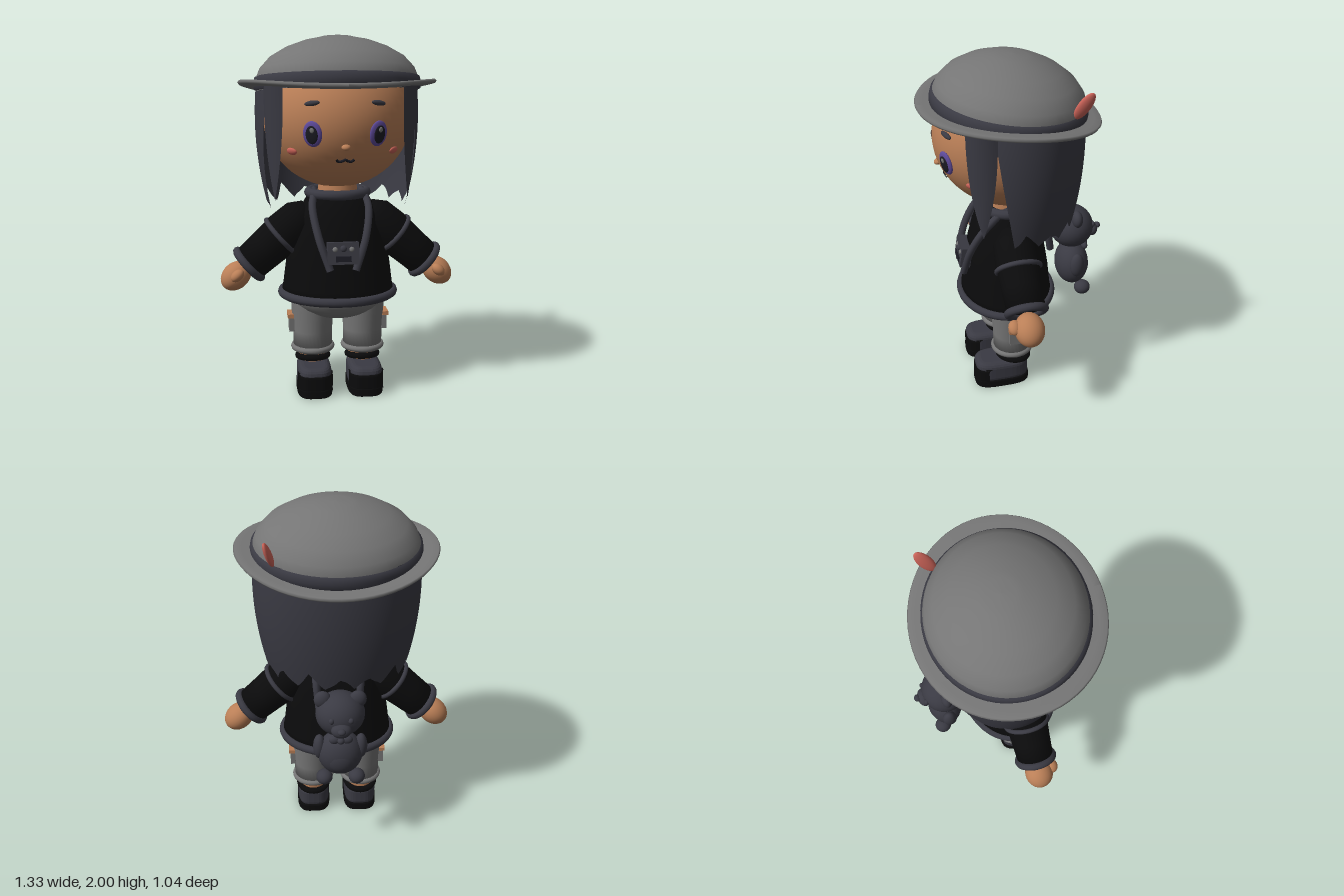
import * as THREE from 'three';

const mat = (name, color, side = THREE.FrontSide) => {
  const m = new THREE.MeshStandardMaterial({ color, side });
  m.name = name;
  return m;
};
const V = (x, y, z) => new THREE.Vector3(x, y, z);

export function createModel() {
  const root = new THREE.Group();
  const skin = mat('skin', 0xba7f57);
  const grey = mat('grey cloth', 0x757575, THREE.DoubleSide);
  const slate = mat('slate', 0x3a3a43, THREE.DoubleSide);
  const black = mat('black', 0x0b0b0c);
  const pink = mat('coral', 0xcc6459);
  const purple = mat('iris purple', 0x5f4b9c);
  const dark = mat('pupil', 0x1c1c24);

  const add = (name, geo, material, pos = [0, 0, 0], scale = [1, 1, 1], parent = root) => {
    const m = new THREE.Mesh(geo, material);
    m.name = name;
    m.position.set(...pos);
    m.scale.set(...scale);
    parent.add(m);
    return m;
  };
  const ball = (name, material, pos, scale, parent) =>
    add(name, new THREE.SphereGeometry(1, 28, 18), material, pos, scale, parent);
  const lathe = (pts, seg = 48) => new THREE.LatheGeometry(pts.map(p => new THREE.Vector2(...p)), seg);
  const ring = (r, t) => new THREE.TorusGeometry(r, t, 10, 40).rotateX(Math.PI / 2);
  const tube = (pts, r, seg = 24) => new THREE.TubeGeometry(
    new THREE.CatmullRomCurve3(pts.map(p => V(...p))), seg, r, 8);

  // Head, flatter at the back
  const HC = V(0, 1.56, 0.02), HR = V(0.41, 0.39, 0.42);
  const headGeo = new THREE.SphereGeometry(1, 48, 32).scale(HR.x, HR.y, HR.z);
  const hp = headGeo.attributes.position;
  for (let i = 0; i < hp.count; i++) if (hp.getZ(i) < 0) hp.setZ(i, hp.getZ(i) * 0.83);
  headGeo.computeVertexNormals();
  add('head', headGeo, skin, HC.toArray());
  add('neck', new THREE.CylinderGeometry(0.1, 0.12, 0.16, 24), skin, [0, 1.17, 0.04]);

  // Places a flat oval on the face
  const faceZ = (x, y) => HC.z + HR.z * Math.sqrt(1 - (x / HR.x) ** 2 - ((y - HC.y) / HR.y) ** 2);
  const onFace = (name, material, x, y, w, h, d, lift = 0, roll = 0) => {
    const p = V(x, y, faceZ(x, y));
    const n = p.clone().sub(HC).divide(HR).divide(HR).normalize();
    const m = ball(name, material, p.clone().addScaledVector(n, lift).toArray(), [w, h, d]);
    m.lookAt(p.clone().addScaledVector(n, 2));
    m.rotateZ(roll);
  };
  for (const s of [-1, 1]) {
    onFace('iris', purple, s * 0.17, 1.5, 0.052, 0.068, 0.016);
    onFace('pupil', dark, s * 0.17, 1.498, 0.033, 0.048, 0.007, 0.013);
    onFace('eyeHighlight', grey, s * 0.17 + 0.002, 1.522, 0.012, 0.014, 0.005, 0.019);
    onFace('eyebrow', slate, s * 0.17, 1.655, 0.042, 0.014, 0.014, 0.004, s * -0.15);
    onFace('cheek', pink, s * 0.27, 1.4, 0.034, 0.021, 0.012);
  }
  onFace('nose', skin, 0, 1.432, 0.024, 0.016, 0.022);
  const mouth = [[-0.048, 1.366], [-0.035, 1.354], [-0.015, 1.356], [0, 1.364],
    [0.015, 1.356], [0.035, 1.354], [0.048, 1.366]];
  add('mouth', tube(mouth.map(([x, y]) => [x, y, faceZ(x, y) + 0.003]), 0.007), dark);

  // Back hair: curved sheet with a jagged hem
  const sheet = (nu, nv, rule) => {
    const g = new THREE.PlaneGeometry(1, 1, nu, nv), p = g.attributes.position;
    for (let i = 0; i < p.count; i++) p.setXYZ(i, ...rule(p.getX(i) + 0.5, 0.5 - p.getY(i)));
    g.computeVertexNormals();
    return g;
  };
  add('backHair', sheet(108, 16, (u, v) => {
    const tooth = Math.abs(((u * 9) % 1) * 2 - 1);
    const hem = 1.06 + 0.075 * (1 - tooth) * (1 - 0.3 * Math.cos(u * 40));
    const y = 1.75 + (hem - 1.75) * v, t = (1.75 - y) / 0.65;
    const s = 1 - 0.25 * (t - 0.3) ** 2;
    const a = (0.5 - u) * 2 * (2.1 - 0.25 * t);
    return [0.455 * s * Math.sin(a), y, -0.378 * s * Math.cos(a)];
  }), slate);
  // Side locks tapering to a point
  for (const s of [-1, 1]) {
    add('sideLock', sheet(10, 20, (u, v) => {
      const w = 0.2 * (1 - v ** 2.4), k = u * 2 - 1;
      const a = 0.57 + s * k * -w, r = 1 + 0.05 * (1 - k * k) * (1 - v) - 0.03 * v * v;
      return [s * 0.44 * r * Math.cos(a), 1.75 - 0.62 * v, 0.02 + 0.43 * r * Math.sin(a)];
    }), slate);
  }

  // Hat, tipped back, with the brim lifted at the sides
  const hat = new THREE.Group();
  hat.name = 'hat';
  hat.position.set(0, 1.7, 0.03);
  hat.rotation.x = -0.105;
  root.add(hat);
  add('crown', lathe([[0.445, 0], [0.447, 0.07], [0.425, 0.125], [0.37, 0.185], [0.28, 0.238],
    [0.18, 0.274], [0.12, 0.286], [0.08, 0.296], [0, 0.299]], 56), grey, [0, 0, 0], [1, 1, 0.91], hat);
  add('hatBand', lathe([[0.44, -0.005], [0.458, 0.005], [0.46, 0.04], [0.454, 0.07], [0.435, 0.078]], 56),
    slate, [0, 0.005, 0], [1, 1, 0.91], hat);
  const brim = lathe([[0.42, -0.012], [0.5, -0.012], [0.54, -0.01], [0.547, 0], [0.54, 0.01],
    [0.5, 0.012], [0.42, 0.018]], 64);
  const bp = brim.attributes.position;
  for (let i = 0; i < bp.count; i++) bp.setY(i, bp.getY(i) + 0.05 * (bp.getX(i) / 0.547) ** 2);
  brim.computeVertexNormals();
  add('brim', brim, grey, [0, 0, 0], [1, 1, 0.9], hat);
  const feather = ball('feather', pink, [0.352, 1.82, -0.275], [0.018, 0.085, 0.036]);
  feather.quaternion.setFromUnitVectors(V(0, 1, 0), V(0.04, 0.14, -0.075).normalize());

  // Jacket
  add('jacket', lathe([[0, 0.56], [0.325, 0.56], [0.312, 0.62], [0.295, 0.75], [0.265, 0.9],
    [0.23, 1.02], [0.175, 1.12], [0.12, 1.15]]), black, [0, 0, 0.05], [1, 1, 0.82]);
  add('jacketHem', ring(0.318, 0.025), slate, [0, 0.57, 0.05], [1, 1, 0.84]);
  add('collar', ring(0.16, 0.028), slate, [0, 1.14, 0.04], [1, 1, 0.9]);

  for (const s of [-1, 1]) {
    // Arm built along -y, then swung outward
    const arm = new THREE.Group();
    arm.name = s > 0 ? 'leftArm' : 'rightArm';
    arm.position.set(s * 0.18, 1.02, 0.05);
    arm.rotation.z = s * 0.85;
    root.add(arm);
    add('sleeve', lathe([[0, -0.43], [0.105, -0.43], [0.112, -0.3], [0.122, -0.16], [0.115, -0.04],
      [0.07, 0.03], [0, 0.05]], 32), black, [0, 0, 0], [1, 1, 1], arm);
    add('sleeveRing', ring(0.12, 0.014), slate, [0, -0.19, 0], [1, 1, 1], arm);
    add('cuff', ring(0.1, 0.023), slate, [0, -0.43, 0], [1, 1, 1], arm);
    ball('hand', skin, [0, -0.53, 0], [0.075, 0.095, 0.082], arm);
    ball('thumb', skin, [s * 0.01, -0.51, 0.08], [0.03, 0.042, 0.035], arm);

    // Shoulder strap from back to front
    add('strap', tube([[s * 0.11, 0.86, -0.19], [s * 0.125, 1.02, -0.155], [s * 0.13, 1.13, -0.05],
      [s * 0.135, 1.145, 0.08], [s * 0.155, 1.08, 0.18], [s * 0.13, 0.93, 0.27],
      [s * 0.07, 0.75, 0.31]], 0.021, 40), slate);

    // Leg
    const leg = new THREE.Group();
    leg.name = s > 0 ? 'leftLeg' : 'rightLeg';
    leg.position.x = s * 0.145;
    root.add(leg);
    add('trouserLeg', lathe([[0, 0.23], [0.112, 0.23], [0.112, 0.34], [0.122, 0.47], [0.12, 0.54]], 32),
      grey, [0, 0, 0.045], [1, 1, 1], leg);
    add('trouserCuff', ring(0.108, 0.018), grey, [0, 0.238, 0.045], [1, 1, 1], leg);
    add('ankle', new THREE.CylinderGeometry(0.085, 0.085, 0.14, 24), skin, [0, 0.18, 0.045], [1, 1, 1], leg);
    add('pocket', new THREE.BoxGeometry(0.03, 0.085, 0.085), grey, [s * 0.122, 0.38, 0.045], [1, 1, 1], leg);
    add('pocketTrim', new THREE.BoxGeometry(0.035, 0.022, 0.095), skin, [s * 0.128, 0.43, 0.045], [1, 1, 1], leg);
    const strap = add('ankleStrap', ring(0.084, 0.019), black, [0, 0.177, 0.04], [1, 1, 1.05], leg);
    strap.rotation.x = -0.15;

    // Shoe from stacked rounded slabs
    const slab = (y0, y1, b, k = 1, zMin = -1) => {
      const pts = [];
      for (let i = 0; i < 40; i++) {
        const c = Math.cos(i * Math.PI / 20), n = Math.sin(i * Math.PI / 20);
        pts.push(new THREE.Vector2(Math.sign(c) * Math.abs(c) ** 0.6 * 0.098 * k,
          Math.max(zMin, 0.115 + Math.sign(n) * Math.abs(n) ** 0.6 * 0.16 * k)));
      }
      return new THREE.ExtrudeGeometry(new THREE.Shape(pts), { depth: y1 - y0 - 2 * b, bevelEnabled: true,
        bevelSize: b, bevelThickness: b, bevelOffset: -b, bevelSegments: 4 })
        .rotateX(Math.PI / 2).translate(0, y1 - b, 0);
    };
    add('sole', slab(0, 0.05, 0.008, 1.02), black, [0, 0, 0], [1, 1, 1], leg);
    add('shoeUpper', slab(0.03, 0.168, 0.035, 0.98), slate, [0, 0, 0], [1, 1, 1], leg);
    add('toeCap', slab(0.03, 0.135, 0.02, 1.01, 0.205), black, [0, 0, 0], [1, 1, 1], leg);
  }

  // Trouser seat
  ball('trouserSeat', grey, [0, 0.56, 0.05], [0.268, 0.148, 0.212]);

  // Chest gadget
  const gadget = new THREE.Group();
  gadget.name = 'chestGadget';
  gadget.position.set(0, 0.845, 0.295);
  gadget.rotation.x = -0.15;
  root.add(gadget);
  add('gadgetBody', new THREE.BoxGeometry(0.17, 0.12, 0.06), slate, [0, 0, 0], [1, 1, 1], gadget);
  for (const s of [-1, 1]) ball('gadgetDial', grey, [s * 0.045, 0.022, 0.03], [0.014, 0.014, 0.008], gadget);
  ball('gadgetButton', slate, [0, 0.026, 0.03], [0.018, 0.018, 0.012], gadget);
  add('gadgetSlot', new THREE.BoxGeometry(0.085, 0.03, 0.008), dark, [0, -0.03, 0.031], [1, 1, 1], gadget);

  // Toy bear on the back, facing backward
  const bear = new THREE.Group();
  bear.name = 'bear';
  root.add(bear);
  const part = (name, p, r) => ball(name, slate, p, r, bear);
  part('bearHead', [0, 0.93, -0.345], [0.135, 0.125, 0.128]);
  part('bearBody', [0, 0.68, -0.355], [0.125, 0.135, 0.098]);
  part('bearBelly', [0, 0.665, -0.41], [0.078, 0.082, 0.046]);
  part('bearMuzzle', [0, 0.895, -0.465], [0.055, 0.042, 0.04]);
  part('bearNose', [0, 0.91, -0.505], [0.022, 0.017, 0.019]);
  part('bearKnot', [0, 0.805, -0.43], [0.02, 0.02, 0.02]);
  for (const s of [-1, 1]) {
    part('bearEar', [s * 0.095, 1.02, -0.35], [0.047, 0.05, 0.032]);
    part('bearEye', [s * 0.052, 0.95, -0.46], [0.015, 0.017, 0.013]);
    part('bearBow', [s * 0.035, 0.805, -0.42], [0.03, 0.024, 0.018]);
    part('bearArm', [s * 0.115, 0.72, -0.355], [0.035, 0.075, 0.042]);
    part('bearFoot', [s * 0.09, 0.545, -0.4], [0.046, 0.042, 0.048]);
  }
  return root;
}
